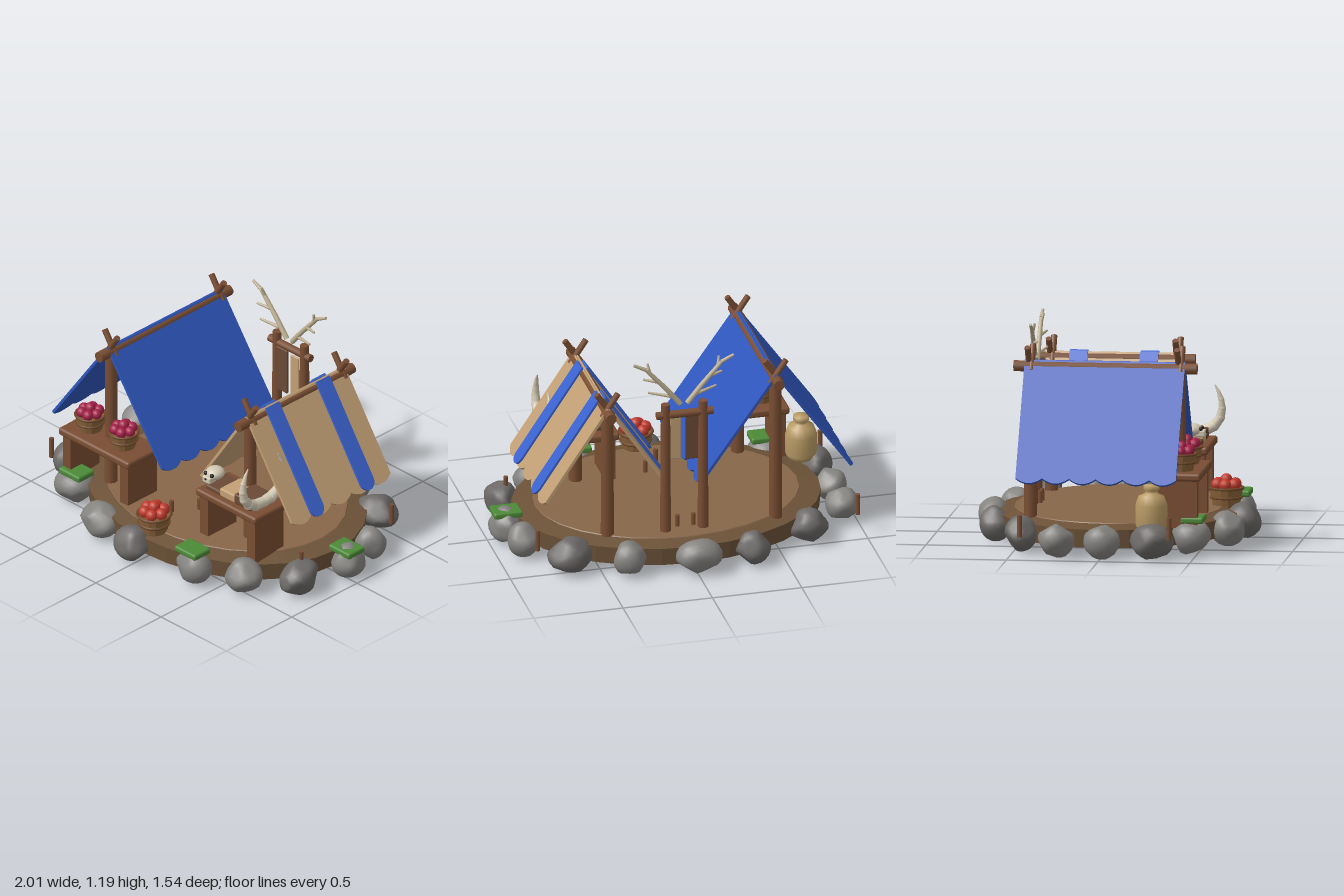
import * as THREE from 'three';
import { mergeVertices } from 'three/addons/utils/BufferGeometryUtils.js';
import { RoundedBoxGeometry } from 'three/addons/geometries/RoundedBoxGeometry.js';

const V = (x, y, z) => new THREE.Vector3(x, y, z);
const mat = (color, extra = {}) => new THREE.MeshStandardMaterial({ color, ...extra });
const M = {
  wood: mat(0x7a4e33), darkWood: mat(0x5e3b26), soil: mat(0x6c5238), earth: mat(0x876648),
  stone: mat(0x858380), stoneDark: mat(0x6c6967), blue: mat(0x2f56bd), stripe: mat(0x3a63d0),
  canvas: mat(0xc3a075), bone: mat(0xd2c8b2), antler: mat(0xbfb193), grass: mat(0x4c8a36),
  basket: mat(0x8a6239), rim: mat(0x704a2a), apple: mat(0xc0392b), berry: mat(0xa51f48),
  jar: mat(0xb89a64), hide: mat(0x6b4a36), black: mat(0x222020),
};
let seed = 7;
const rnd = () => (seed = (seed * 16807) % 2147483647) / 2147483647;

function add(parent, name, geo, material, x = 0, y = 0, z = 0) {
  const m = new THREE.Mesh(geo, material);
  m.name = name;
  m.position.set(x, y, z);
  parent.add(m);
  return m;
}

// Tapered round stick from a to b
function stick(parent, name, a, b, r, r2 = r, material = M.wood) {
  const d = b.clone().sub(a);
  const m = add(parent, name, new THREE.CylinderGeometry(r2, r, d.length(), 10), material);
  m.position.copy(a).addScaledVector(d, 0.5);
  m.quaternion.setFromUnitVectors(V(0, 1, 0), d.normalize());
  return m;
}

// Boulder: a ball cut by a few random planes
function boulder() {
  let g = new THREE.IcosahedronGeometry(1, 3);
  g.deleteAttribute('normal');
  g.deleteAttribute('uv');
  g = mergeVertices(g);
  const planes = Array.from({ length: 9 }, () => V(rnd() - 0.5, rnd() - 0.5, rnd() - 0.5).normalize());
  const p = g.attributes.position, v = V(0, 0, 0);
  for (let i = 0; i < p.count; i++) {
    v.fromBufferAttribute(p, i);
    for (const n of planes) {
      const over = v.dot(n) - 0.8;
      if (over > 0) v.addScaledVector(n, -over * 0.9);
    }
    p.setXYZ(i, v.x, v.y, v.z);
  }
  g.computeVertexNormals();
  return g;
}

// Flat sheet lying on one slope; local x runs along the ridge, y up the slope
function onSlope(shape, thick, lift, side, w, h) {
  const g = new THREE.ExtrudeGeometry(shape, { depth: thick, bevelEnabled: false, curveSegments: 8 });
  g.translate(0, 0, lift);
  const L = Math.hypot(w, h);
  return g.applyMatrix4(new THREE.Matrix4().makeBasis(
    V(0, 0, -side), V((-side * w) / L, h / L, 0), V((side * h) / L, w / L, 0)));
}

function clothShape(width, length, scallops) {
  const s = new THREE.Shape(), step = width / scallops;
  s.moveTo(width / 2, 0);
  s.lineTo(-width / 2, 0);
  s.lineTo(-width / 2, -length + 0.03);
  for (let i = 0; i < scallops; i++) {
    const x = -width / 2 + i * step;
    s.quadraticCurveTo(x + step / 2, -length - 0.03, x + step, -length + 0.03);
  }
  return s;
}

function stripeShape(width, length) {
  const s = new THREE.Shape(), r = width / 2;
  s.moveTo(r, 0);
  s.lineTo(-r, 0);
  s.lineTo(-r, -length + r);
  s.absarc(0, -length + r, r, Math.PI, Math.PI * 2, false);
  return s;
}

function tent(name, { x, ridge, zBack, zFront, w, h, cloth, scallops, stripes }) {
  const g = new THREE.Group();
  g.name = name;
  const mid = (zBack + zFront) / 2, len = zFront - zBack + 0.06, L = Math.hypot(w, h);
  stick(g, 'ridgePole', V(x, ridge, zBack - 0.09), V(x, ridge, zFront + 0.095), 0.03);
  for (const z of [zBack, zFront]) {
    stick(g, 'tentPost', V(x, 0.14, z), V(x, ridge, z), 0.036, 0.033);
    for (const s of [-1, 1]) {
      stick(g, 'crossedStick', V(x - s * 0.03, ridge - 0.02, z + s * 0.008),
        V(x + s * 0.057, ridge + 0.11, z + s * 0.008), 0.017);
      stick(g, 'tentPeg', V(x + s * (w + 0.025), 0.12, z - 0.003),
        V(x + s * (w + 0.025), 0.24, z - 0.003), 0.013);
    }
  }
  for (const s of [-1, 1]) {
    add(g, 'tentCloth', onSlope(clothShape(len, L, scallops), 0.016, -0.008, s, w, h), cloth, x, ridge + 0.03, mid);
    for (const z of stripes)
      add(g, 'clothStripe', onSlope(stripeShape(0.1, L), 0.012, 0.01, s, w, h), M.stripe, x, ridge + 0.03, z);
  }
  return g;
}

function table(x, z, width) {
  const g = new THREE.Group();
  g.name = 'table';
  g.position.set(x, 0, z);
  add(g, 'tableTop', new RoundedBoxGeometry(width, 0.045, 0.26, 3, 0.016), M.wood, 0, 0.432, 0);
  for (const s of [-1, 1])
    add(g, 'tableLeg', new THREE.BoxGeometry(0.06, 0.26, 0.22), M.wood, s * (width / 2 - 0.05), 0.285, 0);
  return g;
}

function fruitBasket(x, y, z, k, fruit) {
  const g = new THREE.Group();
  g.name = 'fruitBasket';
  g.position.set(x, y, z);
  g.scale.setScalar(k);
  const profile = [[0, 0], [0.065, 0], [0.082, 0.09], [0.07, 0.09], [0, 0.075]].map(p => new THREE.Vector2(...p));
  add(g, 'basketBody', new THREE.LatheGeometry(profile, 14), mat(0x8a6239, { flatShading: true }));
  for (const [r, h] of [[0.082, 0.09], [0.074, 0.045]])
    add(g, 'basketBand', new THREE.TorusGeometry(r, 0.007, 6, 20).rotateX(Math.PI / 2), M.rim, 0, h, 0);
  for (let i = 0; i < 7; i++) {
    const a = (i / 6) * Math.PI * 2, r = i < 6 ? 0.048 : 0;
    add(g, 'fruit', new THREE.SphereGeometry(0.03, 12, 8), fruit, r * Math.cos(a), i < 6 ? 0.108 : 0.13, r * Math.sin(a));
  }
  return g;
}

export function createModel() {
  const root = new THREE.Group();
  root.name = 'marketCamp';

  // Oval ground
  const side = [[0, 0.05], [0.84, 0.05], [0.85, 0.15], [0.74, 0.168], [0, 0.165]].map(p => new THREE.Vector2(...p));
  add(root, 'groundEdge', new THREE.LatheGeometry(side, 28), mat(0x6c5238, { flatShading: true })).scale.z = 0.78;
  add(root, 'groundTop', new THREE.CylinderGeometry(0.73, 0.74, 0.012, 28), M.earth, 0, 0.167, 0).scale.z = 0.78;

  // Ring of boulders: x, z, half width, half depth
  const stones = [[-0.32, -0.64, 0.1, 0.09], [-0.01, -0.68, 0.13, 0.1], [0.36, -0.61, 0.1, 0.09], [0.66, -0.49, 0.13, 0.11],
    [0.86, -0.24, 0.09, 0.09], [0.91, -0.03, 0.09, 0.11], [0.85, 0.29, 0.09, 0.13], [0.62, 0.49, 0.11, 0.1],
    [0.36, 0.61, 0.11, 0.09], [-0.04, 0.68, 0.11, 0.1], [-0.34, 0.63, 0.12, 0.1], [-0.69, 0.47, 0.12, 0.11],
    [-0.9, 0.28, 0.1, 0.12], [-0.92, 0.01, 0.09, 0.1], [-0.92, -0.24, 0.09, 0.1], [-0.68, -0.46, 0.11, 0.09]];
  stones.forEach(([x, z, a, b], i) => {
    add(root, 'boulder', boulder(), i % 3 ? M.stone : M.stoneDark, x, 0.1, z).scale.set(a, 0.1, b);
  });
  for (const [x, y, z] of [[-0.67, 0.195, 0.48], [0.35, 0.195, 0.61], [0.9, 0.17, -0.02]])
    add(root, 'grassPatch', new RoundedBoxGeometry(0.16, 0.036, 0.125, 2, 0.012), M.grass, x, y, z);

  // Two tents
  root.add(tent('blueTent', { x: -0.5, ridge: 0.99, zBack: -0.43, zFront: 0.385, w: 0.435, h: 0.61, cloth: M.blue, scallops: 6, stripes: [] }));
  root.add(tent('canvasTent', { x: 0.44, ridge: 0.9, zBack: -0.43, zFront: 0.26, w: 0.365, h: 0.545, cloth: M.canvas, scallops: 5, stripes: [-0.28, 0.105] }));

  // Tables and fruit
  root.add(table(-0.495, 0.4, 0.54), table(0.437, 0.32, 0.46));
  root.add(fruitBasket(-0.635, 0.455, 0.41, 1, M.berry), fruitBasket(-0.38, 0.455, 0.41, 1, M.berry));
  root.add(fruitBasket(0.02, 0.165, 0.575, 1.12, M.apple));

  // Storage jar
  const jar = [[0, 0], [0.07, 0], [0.086, 0.03], [0.088, 0.14], [0.07, 0.19], [0.035, 0.205], [0.035, 0.22],
    [0.043, 0.225], [0.043, 0.25], [0, 0.255]].map(p => new THREE.Vector2(...p));
  add(root, 'storageJar', new THREE.LatheGeometry(jar, 20), M.jar, -0.825, 0.15, 0.27);

  // Gate with hanging hides
  const gate = new THREE.Group();
  gate.name = 'gate';
  for (const x of [-0.085, 0.125]) stick(gate, 'gatePost', V(x, 0.14, -0.47), V(x, 0.93, -0.47), 0.03, 0.025);
  stick(gate, 'gateBar', V(-0.14, 0.865, -0.47), V(0.175, 0.865, -0.47), 0.022);
  add(gate, 'darkHide', new RoundedBoxGeometry(0.085, 0.27, 0.014, 2, 0.006), M.hide, -0.03, 0.715, -0.455);
  add(gate, 'paleHide', new RoundedBoxGeometry(0.065, 0.25, 0.014, 2, 0.006), M.canvas, 0.067, 0.715, -0.455);

  // Antlers, mirrored about the gate middle; each branch is x, y, z, radius points
  const branches = [
    [[0.02, 0.92, 0, 0.015], [0.1, 1.02, 0, 0.014], [0.18, 1.11, 0, 0.012], [0.21, 1.145, 0, 0.011], [0.28, 1.18, 0, 0.008]],
    [[0.07, 0.97, 0, 0.01], [0.19, 0.99, 0.035, 0.006]],
    [[0.13, 1.06, 0, 0.01], [0.22, 1.075, 0.03, 0.006]],
    [[0.19, 1.12, 0, 0.01], [0.2, 1.175, 0.015, 0.006]]];
  for (const s of [-1, 1])
    for (const b of branches)
      for (let i = 1; i < b.length; i++) {
        const [p, q] = [b[i - 1], b[i]].map(c => V(0.02 + s * c[0], c[1], -0.46 + c[2]));
        stick(gate, 'antler', p, q, b[i - 1][3], b[i][3], M.antler);
      }
  root.add(gate);

  // Goods on the right table
  const goods = [[0.305, 0.465, 0.12, 0.03, M.hide], [0.415, 0.477, 0.12, 0.05, M.canvas], [0.53, 0.482, 0.13, 0.06, M.hide]];
  for (const [x, y, w, h, m] of goods)
    add(root, 'foldedHide', new RoundedBoxGeometry(w, h, 0.16, 2, 0.01), m, x, y, 0.33);

  // Skull
  const skull = new THREE.Group();
  skull.name = 'skull';
  skull.position.set(0.272, 0.542, 0.36);
  add(skull, 'cranium', new THREE.SphereGeometry(1, 16, 12), M.bone).scale.set(0.052, 0.036, 0.055);
  add(skull, 'snout', new RoundedBoxGeometry(0.06, 0.04, 0.055, 2, 0.01), M.bone, 0, -0.018, 0.045);
  for (const s of [-1, 1])
    add(skull, 'eyeSocket', new THREE.SphereGeometry(0.012, 10, 8), M.black, s * 0.023, 0.008, 0.047);
  add(skull, 'noseHole', new THREE.SphereGeometry(0.007, 8, 6), M.black, 0, -0.01, 0.072);
  root.add(skull);

  // Pair of curved horns joined at the base, ridged and tapering
  const half = [[0, 0.485, 0.03], [0.06, 0.49, 0.031], [0.11, 0.515, 0.029], [0.145, 0.56, 0.025],
    [0.155, 0.61, 0.021], [0.15, 0.66, 0.016], [0.135, 0.705, 0.01], [0.115, 0.74, 0.003]];
  for (const s of [-1, 1])
    for (let i = 1; i < half.length; i++) {
      const [p, q] = [half[i - 1], half[i]].map(c => V(0.605, c[1], 0.325 + s * c[0]));
      stick(root, 'horn', p, q, half[i - 1][2], half[i][2], M.bone);
      if (i < 6) add(root, 'hornRidge', new THREE.SphereGeometry(half[i][2] * 1.06, 10, 8), M.bone, q.x, q.y, q.z);
    }
  return root;
}
